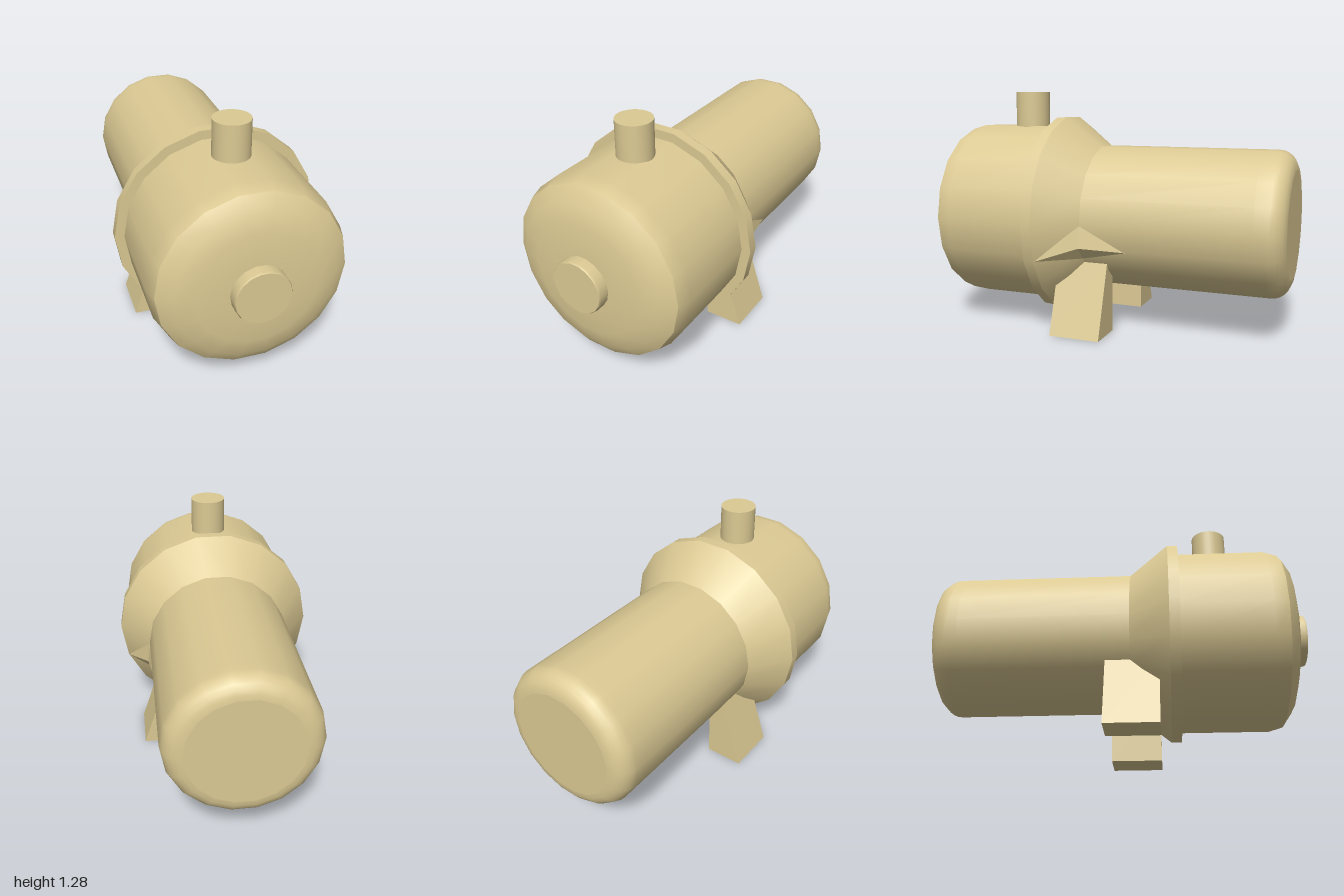
import * as THREE from 'three';

const SIDES = 18;
const AXIS_Y = 0.6;

export function createModel() {
  const model = new THREE.Group();
  model.name = 'pump';
  const material = new THREE.MeshStandardMaterial({ color: 0xdcca94 });
  const flatMaterial = new THREE.MeshStandardMaterial({ color: 0xdcca94, flatShading: true, side: THREE.DoubleSide });

  function add(parent, name, geometry, mat = material) {
    const mesh = new THREE.Mesh(geometry, mat);
    mesh.name = name;
    parent.add(mesh);
    return mesh;
  }

  // Turned part along z: each section is [radius, z] points from back to front,
  // smooth inside and creased against its neighbours
  function turned(name, sections, sides = SIDES) {
    const group = new THREE.Group();
    group.name = name;
    group.position.y = AXIS_Y;
    sections.forEach((points, i) => {
      const profile = points.map(([r, z]) => new THREE.Vector2(r, z));
      const geometry = new THREE.LatheGeometry(profile, sides, Math.PI / 2);
      geometry.rotateX(Math.PI / 2);
      add(group, name + 'Section' + (i + 1), geometry);
    });
    model.add(group);
  }

  // Motor barrel with a rounded rear edge
  const rounding = [];
  for (let i = 0; i <= 6; i++) {
    const a = (i / 6) * Math.PI / 2;
    rounding.push([0.29 + 0.1 * Math.sin(a), -0.9 - 0.1 * Math.cos(a)]);
  }
  turned('motor', [[[0, -1], [0.29, -1]], [...rounding, [0.39, -0.85], [0.39, 0.05]]]);

  // Cone and flange between motor and pump body
  turned('adapterCone', [[[0.39, 0.05], [0.55, 0.255]]]);
  turned('flange', [[[0.55, 0.255], [0.55, 0.31]], [[0.55, 0.31], [0.49, 0.31]]]);

  // Pump body with a domed front
  turned('pumpBody', [
    [[0.5, 0.3], [0.5, 0.78], [0.478, 0.855]],
    [[0.478, 0.855], [0.405, 0.905], [0.305, 0.93], [0.16, 0.94], [0, 0.942]],
  ]);

  // Front plug
  turned('inletPlug', [[[0.143, 0.93], [0.143, 0.99], [0.138, 1]], [[0.138, 1], [0, 1]]]);

  // Outlet pipe on top
  const outlet = add(model, 'outletPipe', new THREE.CylinderGeometry(0.096, 0.096, 0.255, 32));
  outlet.position.set(0.003, 1.1575, 0.505);

  // Tapered feet
  for (const side of [-1, 1]) {
    const shape = new THREE.Shape(
      [[0.235, 0], [0.445, 0], [0.315, 0.39], [0.235, 0.39]].map(([x, y]) => new THREE.Vector2(side * x, y))
    );
    const geometry = new THREE.ExtrudeGeometry(shape, { depth: 0.28, bevelEnabled: false });
    const foot = add(model, side > 0 ? 'leftFoot' : 'rightFoot', geometry, flatMaterial);
    foot.position.set(0.004, 0, -0.08);
  }

  // Small ridge where the cone meets the motor, on the left side only
  const front = [0.515, 0.412, 0.25], back = [0.364, 0.462, -0.2];
  const top = [0.388, 0.595, 0.05], ridge = [0.405, 0.475, 0.05], bottom = [0.345, 0.41, 0.05];
  const corners = [front, ridge, top, ridge, back, top, front, bottom, ridge, bottom, back, ridge];
  const gusset = new THREE.BufferGeometry();
  gusset.setAttribute('position', new THREE.Float32BufferAttribute(corners.flat(), 3));
  gusset.computeVertexNormals();
  add(model, 'gusset', gusset, flatMaterial);

  return model;
}
